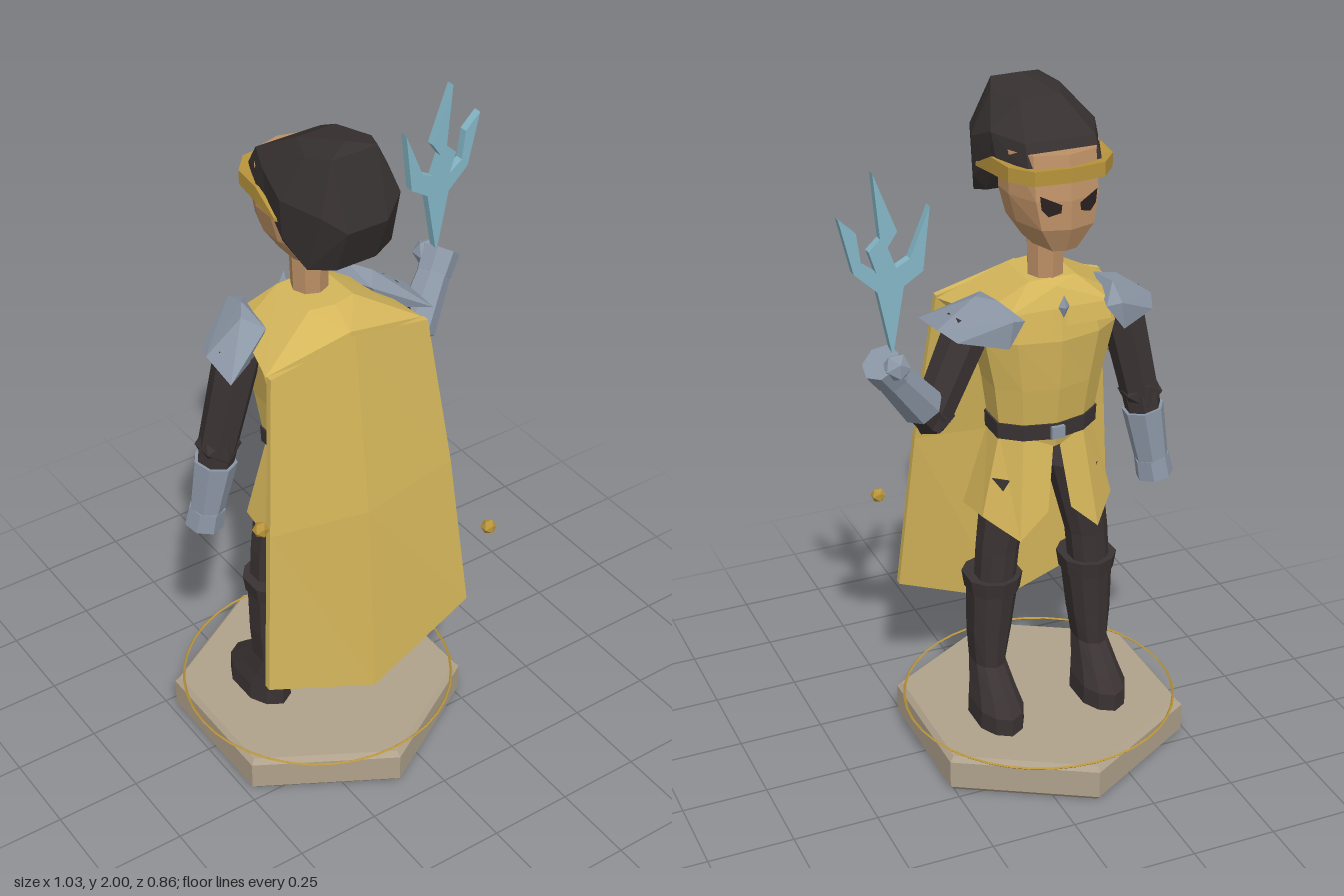
import * as THREE from 'three';
import { ConvexGeometry } from 'three/addons/geometries/ConvexGeometry.js';

const mat = (name, color, side = THREE.FrontSide) =>
  Object.assign(new THREE.MeshStandardMaterial({ color, flatShading: true, side }), { name });

const V = (p) => new THREE.Vector3(...p);

// Mirrored ring: the half runs from back (+z) round the +x side to the front (-z)
const mirrorRing = (half, cx = 0) => [
  ...half.map(([x, y, z]) => [cx + x, y, z]),
  ...half.slice(1, -1).reverse().map(([x, y, z]) => [cx - x, y, z]),
];

// Ten-sided body section: height, half width, back z, front z
function section(y, w, zb, zf, cx = 0) {
  const c = (zb + zf) / 2, d = zb - zf;
  return mirrorRing([[0, y, zb], [0.62 * w, y, zb - 0.1 * d], [w, y, c + 0.2 * d],
    [w, y, c - 0.2 * d], [0.62 * w, y, zf + 0.1 * d], [0, y, zf]], cx);
}

// Skin rings (bottom to top) with quads; closed rings get end caps
function loft(rings, closed = true) {
  const n = rings[0].length, pos = rings.flat(2), index = [];
  for (let i = 0; i < rings.length - 1; i++)
    for (let j = 0; j < (closed ? n : n - 1); j++) {
      const a = i * n + j, b = i * n + (j + 1) % n;
      index.push(a, b, a + n, b, b + n, a + n);
    }
  if (closed) [rings[0], rings.at(-1)].forEach((r, top) => {
    const c = pos.length / 3, base = top ? (rings.length - 1) * n : 0;
    for (let k = 0; k < 3; k++) pos.push(r.reduce((s, p) => s + p[k], 0) / n);
    for (let j = 0; j < n; j++) {
      const a = base + j, b = base + (j + 1) % n;
      index.push(...(top ? [c, a, b] : [c, b, a]));
    }
  });
  const g = new THREE.BufferGeometry();
  g.setAttribute('position', new THREE.Float32BufferAttribute(pos, 3));
  g.setIndex(index);
  g.computeVertexNormals();
  return g;
}

// Convex solid from points, optionally mirrored in x
const hull = (pts, mirror = true) => new ConvexGeometry(
  (mirror ? pts.flatMap(([x, y, z]) => (x ? [[x, y, z], [-x, y, z]] : [[x, y, z]])) : pts).map(V));

// Tapered limb between two points
function limb(a, b, r0, r1, sides = 7) {
  const p = V(a), d = V(b).sub(p);
  const g = new THREE.CylinderGeometry(r1, r0, d.length(), sides);
  g.translate(0, d.length() / 2, 0);
  g.applyQuaternion(new THREE.Quaternion().setFromUnitVectors(V([0, 1, 0]), d.normalize()));
  return g.translate(p.x, p.y, p.z);
}

export function createModel() {
  const gold = mat('gold cloth', 0xd4b55a, THREE.DoubleSide);
  const trim = mat('dark gold trim', 0xb8943c);
  const dark = mat('dark leather', 0x3b3333);
  const hairMat = mat('hair', 0x363030);
  const skin = mat('skin', 0xbd9066);
  const steel = mat('steel', 0x8c97a6);
  const bolt = mat('pale blue', 0x84b6c6);
  const stone = mat('stone', 0xb0a28c);
  const eyeMat = mat('eye', 0x2a2020, THREE.DoubleSide);

  const model = new THREE.Group();
  const body = new THREE.Group();
  body.name = 'figure';
  body.position.x = -0.11;
  model.add(body);
  const add = (name, geo, material, at = [0, 0, 0]) => {
    const m = new THREE.Mesh(geo, material);
    m.name = name;
    m.position.set(...at);
    body.add(m);
    return m;
  };

  // Hexagonal plinth with chamfered edges and a thin ring
  const hex = (y, r) => Array.from({ length: 6 }, (_, i) =>
    [r * Math.sin(i * Math.PI / 3), y, r * Math.cos(i * Math.PI / 3)]);
  add('plinth', loft([hex(0, 0.415), hex(0.015, 0.43), hex(0.1, 0.43), hex(0.115, 0.415)]), stone);
  add('plinthRing', new THREE.TorusGeometry(0.403, 0.004, 4, 40).rotateX(Math.PI / 2), trim, [0, 0.12, 0]);

  // Floating orbs
  add('orbLeft', new THREE.IcosahedronGeometry(0.023), trim, [0.38, 0.71, 0.315]);
  add('orbRight', new THREE.IcosahedronGeometry(0.023), trim, [-0.38, 1.05, 0.315]);

  // Legs and boots
  for (const s of [-1, 1]) {
    add('thigh', loft([section(0.54, 0.055, 0.045, -0.075, s * 0.15), section(0.66, 0.058, 0.045, -0.075, s * 0.14),
      section(0.9, 0.075, 0.07, -0.09, s * 0.095)]), dark);
    add('boot', loft([section(0.115, 0.068, 0.065, -0.187, s * 0.165), section(0.17, 0.066, 0.065, -0.187, s * 0.165),
      section(0.215, 0.056, 0.07, -0.14, s * 0.165), section(0.28, 0.046, 0.078, -0.068, s * 0.165),
      section(0.38, 0.058, 0.08, -0.07, s * 0.16), section(0.53, 0.068, 0.082, -0.078, s * 0.15)]), dark);
    add('bootCuff', loft([section(0.52, 0.073, 0.088, -0.084, s * 0.15),
      section(0.57, 0.08, 0.096, -0.092, s * 0.15)]), dark);
  }

  // Tunic: torso, shoulder yoke, slit skirt
  add('torso', loft([section(1.02, 0.14, 0.108, -0.1), section(1.18, 0.162, 0.12, -0.125),
    section(1.33, 0.195, 0.122, -0.14), section(1.42, 0.175, 0.12, -0.125)]), gold);
  add('yoke', hull([[0.07, 1.49, 0.085], [0.07, 1.49, -0.07], [0, 1.49, 0.1], [0, 1.475, -0.095], [0, 1.445, 0.175],
    [0.25, 1.385, 0.15], [0.2, 1.41, -0.05], [0.15, 1.42, -0.12], [0.15, 1.37, -0.13], [0.22, 1.36, 0.08]]), gold);
  const hem = [[0.01, 1, -0.108], [0.09, 1.03, -0.085], [0.14, 1.03, -0.03], [0.14, 1.03, 0.05],
    [0.085, 1.03, 0.1], [0, 1.03, 0.11]];
  const hemLow = [[0.035, 0.81, -0.135], [0.12, 0.73, -0.135], [0.2, 0.785, -0.05], [0.21, 0.775, 0.07],
    [0.12, 0.775, 0.14], [0, 0.775, 0.155]];
  const wrap = (h) => [...h.slice(0, -1).map(([x, y, z]) => [-x, y, z]), ...h.slice().reverse()];
  add('skirt', loft([wrap(hemLow), wrap(hem)], false), gold);
  add('belt', loft([section(1.02, 0.15, 0.117, -0.11), section(1.068, 0.152, 0.119, -0.113)]), dark);
  add('buckle', new THREE.BoxGeometry(0.04, 0.036, 0.012), steel, [0, 1.045, -0.117]);
  const pendant = add('pendant', new THREE.OctahedronGeometry(0.03), steel, [0, 1.435, -0.145]);
  pendant.scale.set(0.55, 1.1, 0.5);

  // Cape: shallow folded sheet, pointed at the bottom
  const capeRow = (w, yc, zc, ys, zs) => mirrorRing([[0, yc, zc], [w, ys, zs], [w, ys, zs - 0.02], [0, yc, zc - 0.02]]);
  add('cape', loft([capeRow(0.343, 0.285, 0.298, 0.43, 0.275), capeRow(0.3, 0.9, 0.262, 0.93, 0.232),
    capeRow(0.25, 1.445, 0.195, 1.39, 0.175)]), gold);

  // Pauldrons
  for (const s of [-1, 1])
    add('pauldron', hull([[0.12, 1.42, -0.16], [0.16, 1.43, -0.175], [0.17, 1.46, -0.09], [0.21, 1.455, -0.03],
      [0.17, 1.44, 0.03], [0.32, 1.375, -0.03], [0.325, 1.36, 0.1], [0.29, 1.36, -0.1], [0.25, 1.34, -0.07],
      [0.17, 1.35, -0.17], [0.2, 1.37, 0.03]].map(([x, y, z]) => [s * x, y, z]), false), steel);

  // Arms: one hanging, one raised
  const arms = [
    { shoulder: [-0.23, 1.38, -0.01], elbow: [-0.295, 1.08, -0.03], wrist: [-0.33, 0.87, -0.045], tip: [-0.34, 0.81, -0.05] },
    { shoulder: [0.22, 1.38, -0.02], elbow: [0.345, 1.135, -0.045], wrist: [0.48, 1.305, -0.11], tip: [0.52, 1.36, -0.13] },
  ];
  for (const { shoulder, elbow, wrist, tip } of arms) {
    const cuff = V(elbow).lerp(V(wrist), 0.25).toArray();
    add('sleeve', limb(shoulder, elbow, 0.066, 0.056), dark);
    add('elbow', new THREE.IcosahedronGeometry(0.064), dark, elbow);
    add('forearm', limb(elbow, wrist, 0.055, 0.045), dark);
    add('gauntlet', limb(cuff, wrist, 0.062, 0.05), steel);
    add('fist', limb(wrist, tip, 0.052, 0.055), steel);
  }
  add('thumb', new THREE.IcosahedronGeometry(0.04), steel, [0.485, 1.35, -0.155]);

  // Forked bolt held above the raised hand
  const fork = new THREE.Shape([[0.375, 1.37], [0.413, 1.56], [0.476, 1.62], [0.513, 1.775], [0.466, 1.73], [0.455, 1.645],
    [0.415, 1.615], [0.434, 1.675], [0.402, 1.705], [0.418, 1.885], [0.355, 1.72], [0.382, 1.68], [0.36, 1.62],
    [0.322, 1.64], [0.265, 1.775], [0.286, 1.6], [0.34, 1.566]].map((p) => new THREE.Vector2(...p)));
  add('bolt', new THREE.ExtrudeGeometry(fork, { depth: 0.025, bevelEnabled: false }), bolt, [0.11, 0, -0.132]);

  // Neck and head
  add('neck', new THREE.CylinderGeometry(0.056, 0.05, 0.2, 8), skin, [0, 1.55, -0.02]);
  const headRing = (y, w, zb, zf, fx) => mirrorRing([[0, y, zb], [w * 0.7, y, zb - 0.01], [w, y, 0],
    [w, y, -0.07], [fx, y, zf + fx * 0.294], [0, y, zf]]);
  add('head', loft([headRing(1.6, 0.06, 0.05, -0.155, 0.035), headRing(1.67, 0.108, 0.07, -0.185, 0.075),
    headRing(1.75, 0.13, 0.07, -0.185, 0.09), headRing(1.87, 0.13, 0.07, -0.165, 0.09)]), skin);

  // Slanted eyes lying on the face planes
  for (const s of [-1, 1]) {
    const g = new THREE.ShapeGeometry(new THREE.Shape(
      [[0.028, 1.72], [0.06, 1.71], [0.078, 1.73], [0.082, 1.768], [0.026, 1.742]].map(([x, y]) => new THREE.Vector2(s * x, y))));
    const p = g.attributes.position;
    for (let i = 0; i < p.count; i++) p.setZ(i, -0.19 + 0.294 * Math.abs(p.getX(i)));
    add('eye', g, eyeMat);
  }

  // Headband sweeping back to points under the hair
  const band = (y, side, back) => mirrorRing([[0, back, 0.13], [0.12, back, 0.13], [0.164, back, 0.07],
    [0.16, side, -0.02], [0.15, y, -0.115], [0.1, y, -0.174], [0, y, -0.185]]);
  add('headband', loft([band(1.8, 1.795, 1.785), band(1.84, 1.84, 1.795)]), trim);

  // Hair: swept-back bulk and front cap
  add('hairBack', hull([[0, 2, 0.15], [0.1, 1.97, 0.12], [0.06, 1.97, 0.02], [0.15, 1.9, 0], [0.165, 1.86, 0.1],
    [0.16, 1.75, 0.1], [0.13, 1.68, 0.17], [0.06, 1.67, 0.2], [0.06, 1.8, 0.25], [0.12, 1.85, 0.22],
    [0.07, 1.985, 0.19], [0.135, 1.715, 0.065], [0.145, 1.82, -0.01]]), hairMat);
  add('hairFront', hull([[0.105, 1.83, -0.145], [0.15, 1.825, -0.04], [0.15, 1.9, 0], [0.1, 1.895, -0.11],
    [0.06, 1.97, 0.02], [0.145, 1.82, 0.08], [0.1, 1.965, 0.1]]), hairMat);

  return model;
}
